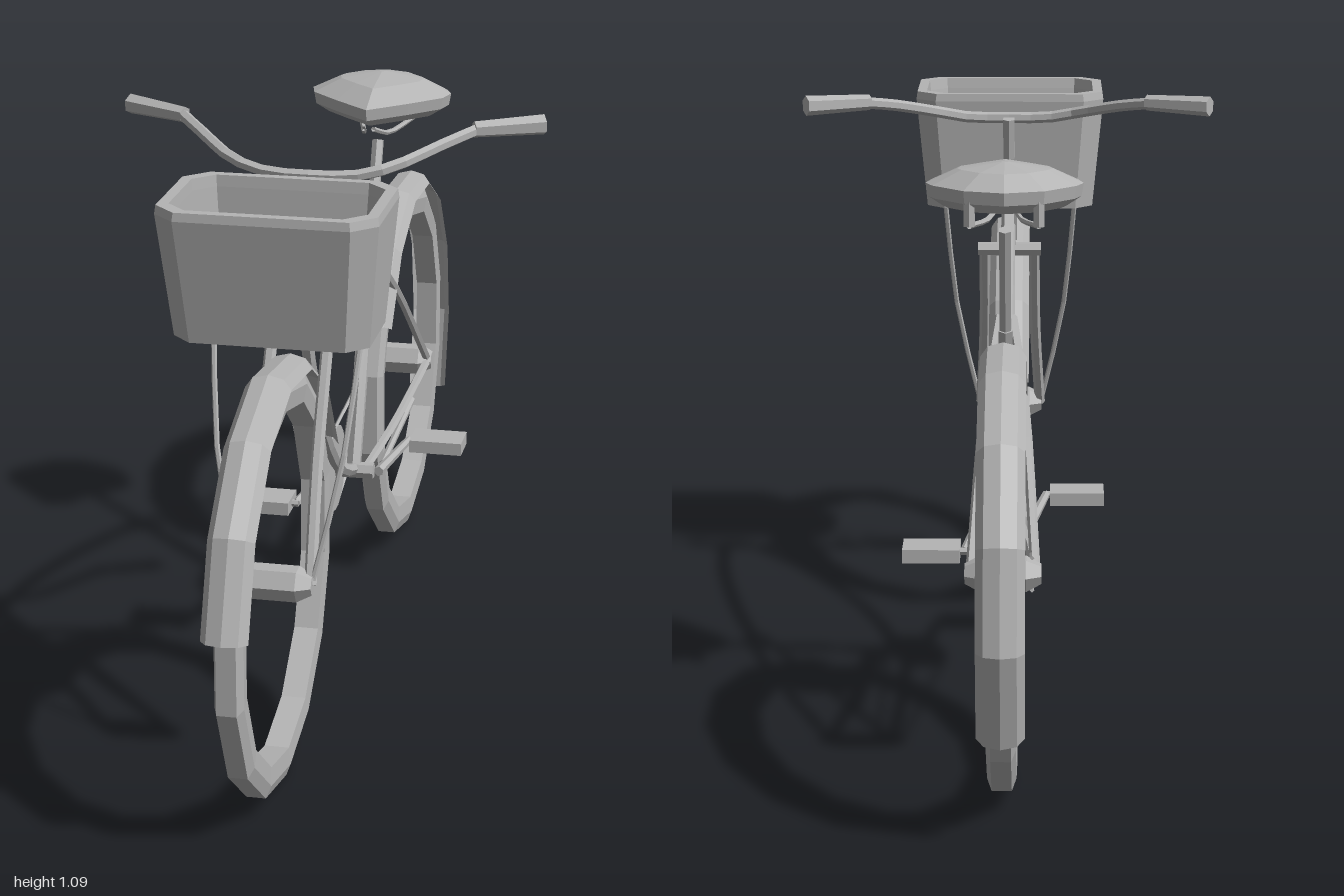
import * as THREE from 'three';

const grey = new THREE.MeshStandardMaterial({ color: 0xb4b4b4, flatShading: true, side: THREE.DoubleSide });
grey.name = 'grey';
const RAD = Math.PI / 180;
const AXLE_Y = 0.37, FRONT_Z = 0.606, REAR_Z = -0.598;
const V = (p) => new THREE.Vector3(...p);
const mirrored = (pts, s) => pts.map(([x, y, z]) => [x * s, y, z]);

export function createModel() {
  const group = new THREE.Group();

  function add(name, geometry, pos = [0, 0, 0]) {
    const mesh = new THREE.Mesh(geometry, grey);
    mesh.name = name;
    mesh.position.set(...pos);
    group.add(mesh);
    return mesh;
  }

  // Straight capped rod between two points
  function rod(name, a, b, r, r2 = r, sides = 6) {
    const dir = V(b).sub(V(a));
    const mesh = add(name, new THREE.CylinderGeometry(r2, r, dir.length(), sides));
    mesh.position.copy(V(a)).addScaledVector(dir, 0.5);
    mesh.quaternion.setFromUnitVectors(new THREE.Vector3(0, 1, 0), dir.normalize());
    return mesh;
  }

  // Bent tube through points
  function pipe(name, pts, r, steps = pts.length * 2, sides = 6) {
    return add(name, new THREE.TubeGeometry(new THREE.CatmullRomCurve3(pts.map(V)), steps, r, sides));
  }

  // Revolve [radius, x] pairs about the x axis; angles run from forward to up
  function revolve(name, profile, segs, start, sweep, pos) {
    const g = new THREE.LatheGeometry(profile.map(([r, x]) => new THREE.Vector2(r, x)), segs, start * RAD, sweep * RAD);
    g.rotateZ(Math.PI / 2);
    return add(name, g, pos);
  }

  // Skin over closed rings with equal point counts, both ends capped
  function loft(name, rings) {
    const n = rings[0].length, index = [];
    for (let k = 0; k < rings.length - 1; k++) {
      for (let i = 0; i < n; i++) {
        const a = k * n + i, b = k * n + (i + 1) % n;
        index.push(a, b, a + n, b, b + n, a + n);
      }
    }
    const last = (rings.length - 1) * n;
    for (let i = 1; i < n - 1; i++) {
      index.push(0, i + 1, i, last, last + i, last + i + 1);
    }
    const g = new THREE.BufferGeometry();
    g.setAttribute('position', new THREE.Float32BufferAttribute(rings.flat(2), 3));
    g.setIndex(index);
    g.computeVertexNormals();
    return add(name, g);
  }

  // Tyres and hubs
  const tyre = [[0.37, -0.017], [0.37, 0.017], [0.348, 0.025], [0.316, 0.022], [0.316, -0.022], [0.348, -0.025], [0.37, -0.017]];
  const hub = [[0, -0.066], [0.018, -0.066], [0.032, -0.04], [0.032, 0.04], [0.018, 0.066], [0, 0.066]];
  for (const [side, z] of [['front', FRONT_Z], ['rear', REAR_Z]]) {
    revolve(side + 'Tyre', tyre, 14, 90, 360, [0, AXLE_Y, z]);
    revolve(side + 'Hub', hub, 6, 0, 360, [0, AXLE_Y, z]);
  }

  // Mudguards
  const guard = [[0.372, -0.04], [0.39, -0.027], [0.397, 0], [0.39, 0.027], [0.372, 0.04]];
  revolve('frontMudguard', guard, 6, 8, 152, [0, AXLE_Y, FRONT_Z]);
  revolve('rearMudguard', guard, 7, 28, 180, [0, AXLE_Y, REAR_Z]);

  // Frame
  rod('headTube', [0, 0.765, 0.397], [0, 0.915, 0.33], 0.018);
  pipe('topTube', [[0, 0.91, 0.33], [0, 0.89, 0.195], [0, 0.84, 0.035], [0, 0.755, -0.153], [0, 0.715, -0.21]], 0.012);
  pipe('downTube', [[0, 0.81, 0.378], [0, 0.64, 0.3], [0, 0.466, 0.17], [0, 0.36, 0.035], [0, 0.316, -0.083]], 0.012);
  rod('seatTube', [0, 0.316, -0.083], [0, 0.72, -0.245], 0.015);
  rod('seatPost', [0, 0.72, -0.245], [0, 0.917, -0.325], 0.012);
  rod('bottomBracket', [-0.04, 0.314, -0.083], [0.04, 0.314, -0.083], 0.016);
  for (const s of [-1, 1]) {
    pipe('seatStay', mirrored([[0.012, 0.73, -0.19], [0.035, 0.606, -0.34], [0.056, AXLE_Y, REAR_Z]], s), 0.009);
    pipe('chainStay', mirrored([[0.022, 0.316, -0.083], [0.04, 0.335, -0.28], [0.056, AXLE_Y, REAR_Z]], s), 0.009);
  }

  // Fork
  rod('forkCrown', [-0.064, 0.74, 0.402], [0.064, 0.74, 0.402], 0.014);
  rod('steerer', [0, 0.73, 0.406], [0, 0.77, 0.395], 0.014);
  for (const s of [-1, 1]) {
    pipe('forkLeg', mirrored([[0.05, 0.745, 0.4], [0.052, 0.56, 0.5], [0.062, AXLE_Y, FRONT_Z]], s), 0.011);
    pipe('basketStay', mirrored([[0.132, 0.82, 0.488], [0.11, 0.585, 0.563], [0.064, AXLE_Y, FRONT_Z]], s), 0.005, 4);
  }

  // Stem, handlebar and grips
  rod('stem', [0, 0.94, 0.317], [0, 1.02, 0.3], 0.013);
  const half = [[0.08, 1.022, 0.312], [0.14, 1.035, 0.293], [0.22, 1.06, 0.21], [0.27, 1.073, 0.148]];
  pipe('handlebar', [...mirrored(half, -1).reverse(), [0, 1.02, 0.318], ...half], 0.011, 16);
  for (const s of [-1, 1]) {
    rod('grip', [0.265 * s, 1.074, 0.152], [0.382 * s, 1.075, 0.095], 0.015, 0.019);
  }

  // Basket with bevelled corners: outside, rim, then inside down to the floor
  const corner = (hx, y, z0, z1, c) => [
    [hx - c, y, z0], [hx, y, z0 + c], [hx, y, z1 - c], [hx - c, y, z1],
    [c - hx, y, z1], [-hx, y, z1 - c], [-hx, y, z0 + c], [c - hx, y, z0]];
  loft('basket', [
    corner(0.168, 0.815, 0.447, 0.655, 0.035), corner(0.189, 1.035, 0.431, 0.692, 0.04),
    corner(0.187, 1.05, 0.433, 0.69, 0.04), corner(0.168, 1.05, 0.45, 0.672, 0.035),
    corner(0.166, 1.03, 0.452, 0.668, 0.034), corner(0.15, 0.825, 0.462, 0.64, 0.03)]);

  // Saddle: outline scaled around its crown
  const outline = [[0, -0.2], [0.07, -0.265], [0.128, -0.325], [0.138, -0.365], [0.125, -0.395], [0.07, -0.45], [0, -0.472]];
  const ring = [...outline, ...outline.slice(1, -1).reverse().map(([x, z]) => [-x, z])];
  const saddleRing = ([s, y]) => ring.map(([x, z]) => [x * s, y, -0.37 + (z + 0.37) * s]);
  loft('saddle', [[0.78, 0.968], [0.97, 0.985], [1, 1.008], [0.6, 1.034], [0.05, 1.046]].map(saddleRing));
  for (const s of [-1, 1]) {
    rod('saddleSpring', [0.06 * s, 0.945, -0.44], [0.06 * s, 0.99, -0.44], 0.011);
    pipe('saddleRail', mirrored([[0.01, 0.965, -0.225], [0.025, 0.938, -0.31], [0.06, 0.945, -0.44]], s), 0.005);
  }

  // Chainring and chain runs
  rod('chainring', [-0.042, 0.314, -0.085], [-0.034, 0.314, -0.085], 0.085, 0.085, 18);
  rod('chainTop', [-0.038, 0.397, -0.09], [-0.05, 0.398, REAR_Z], 0.004, 0.004, 4);
  rod('chainBottom', [-0.038, 0.232, -0.1], [-0.05, 0.34, REAR_Z], 0.004, 0.004, 4);

  // Cranks and pedals
  for (const [s, z] of [[-1, 0.1], [1, -0.275]]) {
    rod('crank', [0.05 * s, 0.314, -0.083], [0.075 * s, 0.31, z], 0.01, 0.008);
    rod('pedalAxle', [0.07 * s, 0.31, z], [0.1 * s, 0.31, z], 0.007);
    add('pedal', new THREE.BoxGeometry(0.105, 0.025, 0.072), [0.135 * s, 0.31, z]);
  }

  // Folded kickstand
  rod('kickstand', [0.045, 0.305, -0.15], [0.05, 0.332, -0.45], 0.007);

  return group;
}
